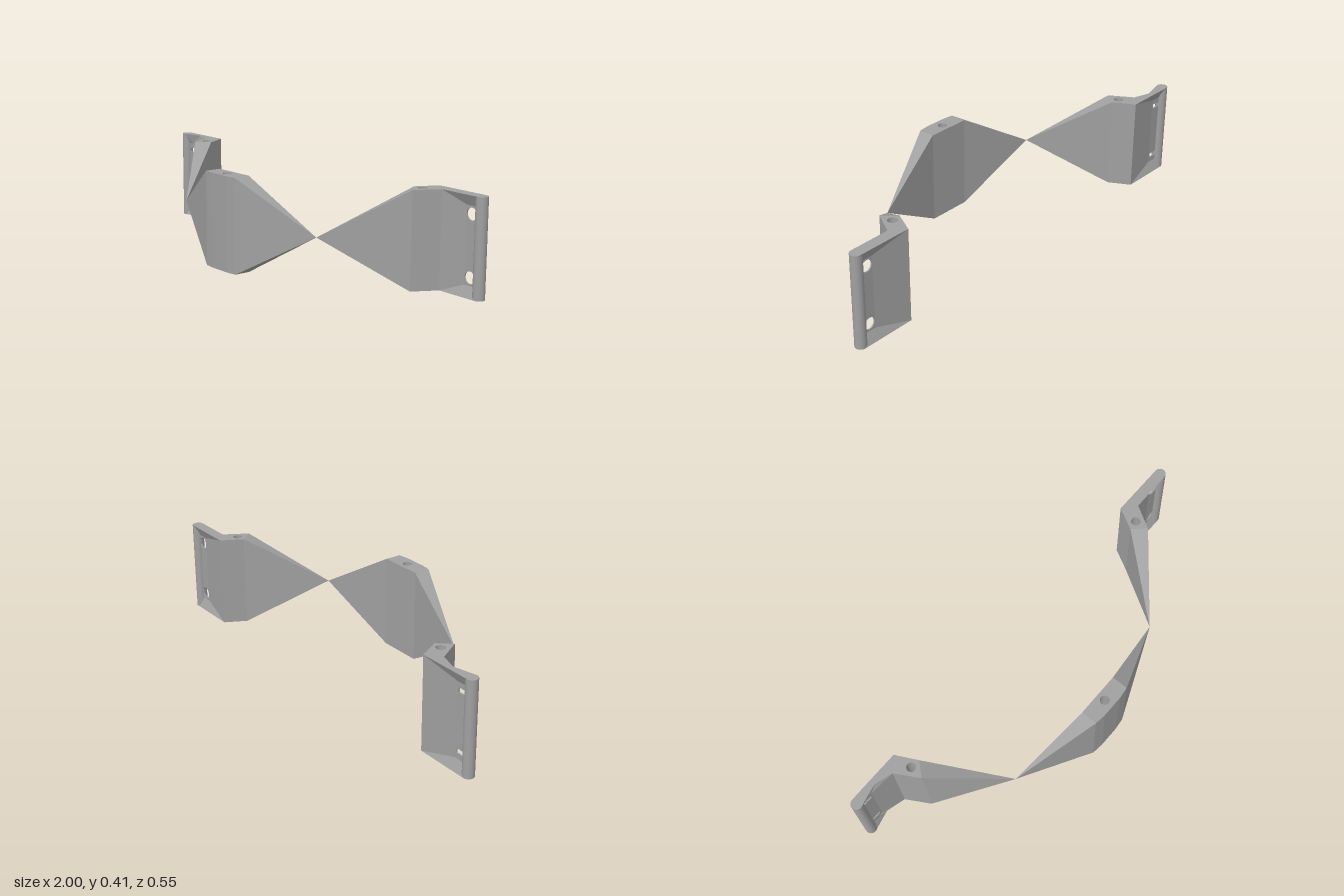
import * as THREE from 'three';
import { ConvexGeometry } from 'three/addons/geometries/ConvexGeometry.js';

const H = 0.41, MID = H / 2;
const grey = new THREE.MeshStandardMaterial({ color: 0xa0a0a0, side: THREE.DoubleSide });
grey.name = 'grey';

function add(group, name, geometry) {
  const mesh = new THREE.Mesh(geometry, grey);
  mesh.name = name;
  group.add(mesh);
}

// full-height block from an x/z outline, with a vertical pin hole
function block(outline, hx, hz) {
  const shape = new THREE.Shape(outline.map(([x, z]) => new THREE.Vector2(x, z)));
  shape.holes.push(new THREE.Path().absarc(hx, hz, 0.02, 0, Math.PI * 2, true));
  const g = new THREE.ExtrudeGeometry(shape, { depth: H, bevelEnabled: false, curveSegments: 16 });
  return g.rotateX(Math.PI / 2).translate(0, H, 0);
}

// pyramid from a point at mid height to an upright rectangle
function taper(tip, front, back) {
  const pts = [new THREE.Vector3(tip[0], MID, tip[1])];
  for (const [x, z] of [front, back]) {
    for (const y of [0, H]) pts.push(new THREE.Vector3(x, y, z));
  }
  return new ConvexGeometry(pts);
}

// flat-shaded quads, turned over when mirrored
function quadSurface(quads, s) {
  const pos = [];
  for (const [a, b, c, d] of quads) {
    const order = s > 0 ? [a, b, c, a, c, d] : [a, c, b, a, d, c];
    for (const p of order) pos.push(p[0] * s, p[1], p[2]);
  }
  const g = new THREE.BufferGeometry();
  g.setAttribute('position', new THREE.Float32BufferAttribute(pos, 3));
  g.computeVertexNormals();
  return g;
}

// end plate whose faces slope in towards a strap slot
function plateShell(s) {
  const loop = (xs, y0, y1, z, zMid) => [
    [xs[0], y0, z], [xs[1], y0, zMid], [xs[2], y0, z],
    [xs[2], y1, z], [xs[1], y1, zMid], [xs[0], y1, z]];
  const dent = s > 0 ? -0.225 : -0.25;
  const front = loop([0.79, 0.87, 0.975], 0, H, -0.225, dent);
  const back = loop([0.73, 0.87, 0.975], 0, H, -0.275, -0.275);
  const inX = [0.9, 0.925, 0.955];
  const frontIn = loop(inX, 0.045, 0.365, -0.247, -0.247);
  const backIn = loop(inX, 0.045, 0.365, -0.253, -0.253);
  const quads = [];
  for (let i = 0; i < 6; i++) {
    const j = (i + 1) % 6;
    quads.push([front[i], front[j], frontIn[j], frontIn[i]]);
    quads.push([back[j], back[i], backIn[i], backIn[j]]);
    if (i % 3 < 2) quads.push([front[i], back[i], back[j], front[j]]);
  }
  return quadSurface(quads, s);
}

// web across the slot, open at both ends
function slotWeb(s) {
  const rect = (C, x0, x1, y0, y1) => new C([[x0, y0], [x1, y0], [x1, y1], [x0, y1]]
    .map(([x, y]) => new THREE.Vector2(x * s, y)));
  const shape = rect(THREE.Shape, 0.9, 0.955, 0.045, 0.365);
  for (const y of [0.078, 0.332]) {
    if (s > 0) shape.holes.push(new THREE.Path().absarc(0.9275, y, 0.026, 0, Math.PI * 2, true));
    else shape.holes.push(rect(THREE.Path, 0.908, 0.952, y - 0.01, y + 0.01));
  }
  return new THREE.ExtrudeGeometry(shape, { depth: 0.006, bevelEnabled: false, curveSegments: 8 })
    .translate(0, 0, -0.253);
}

export function createModel() {
  const model = new THREE.Group();
  model.name = 'bracket';

  // centre segment
  add(model, 'centreBlock', block([[-0.1, 0.195], [0.1, 0.195], [0.1, 0.268],
    [0.05, 0.274], [-0.05, 0.274], [-0.1, 0.268]], 0, 0.232));

  for (const s of [1, -1]) {
    const side = new THREE.Group();
    side.name = s > 0 ? 'leftArm' : 'rightArm';
    const m = ([x, z]) => [x * s, z];
    const tip = m([0.45, 0.128]);
    const f1 = m([0.73, -0.122]), f2 = m([0.79, -0.225]);
    const b1 = m([0.68, -0.18]), b2 = m([0.73, -0.275]);

    // two tapers meeting at a point
    add(side, 'centreTaper', taper(tip, m([0.1, 0.268]), m([0.1, 0.195])));
    add(side, 'wingTaper', taper(tip, f1, b1));
    add(side, 'wingBlock', block([f1, f2, b2, b1], 0.723 * s, -0.185));

    // end plate with rounded edge
    add(side, 'endPlate', plateShell(s));
    add(side, 'slotWeb', slotWeb(s));
    add(side, 'roundedEdge', new THREE.CylinderGeometry(0.025, 0.025, H, 20)
      .translate(0.975 * s, MID, -0.25));
    model.add(side);
  }
  return model;
}
